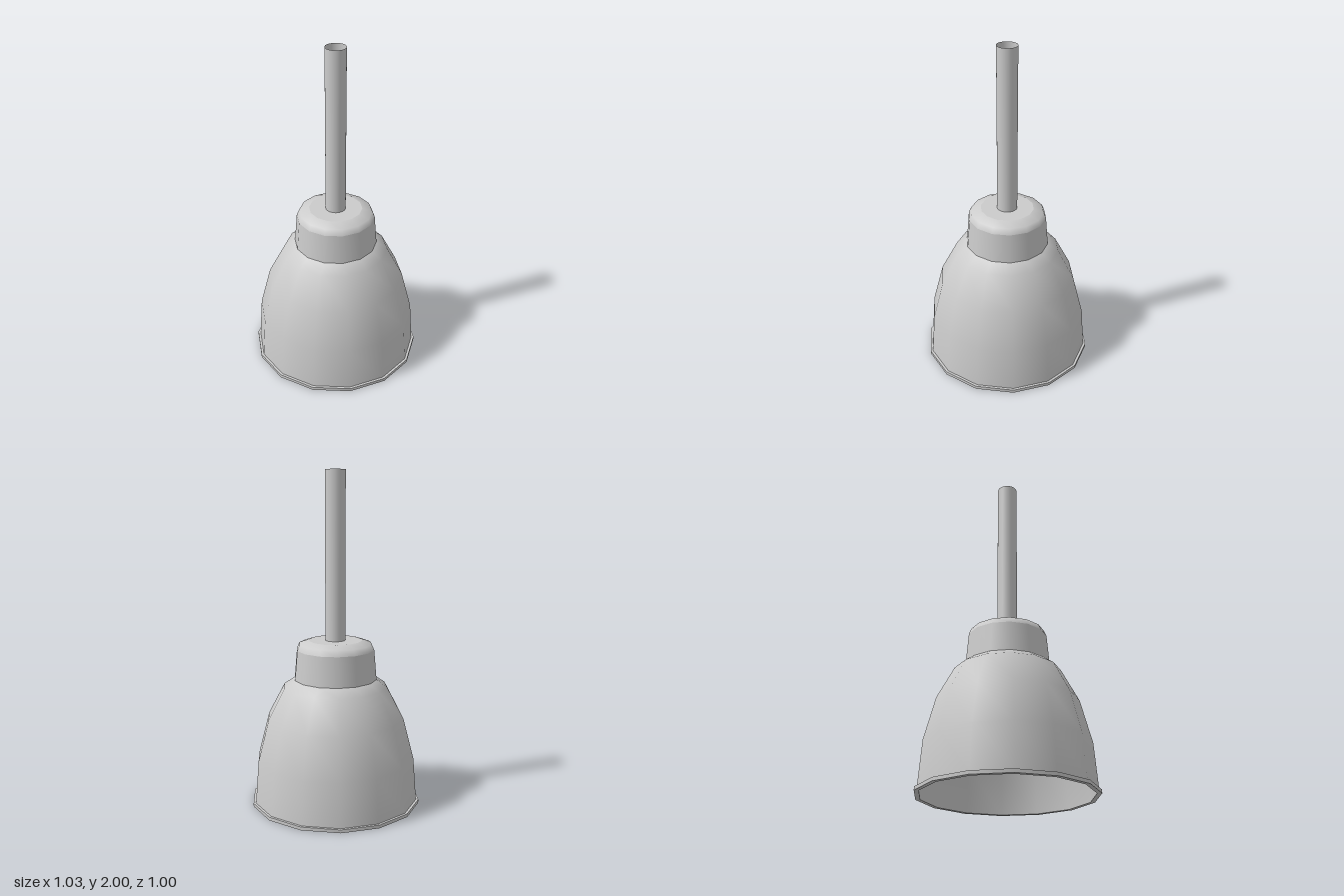
import * as THREE from 'three';

const SIDES = 14;

export function createModel() {
  const lamp = new THREE.Group();
  lamp.name = 'pendantLamp';
  const grey = new THREE.MeshStandardMaterial({ color: 0xcccccc });
  const greyThin = new THREE.MeshStandardMaterial({ color: 0xcccccc, side: THREE.DoubleSide });

  // Turned part with a corner on the x axis; profile is [radius, height] pairs
  // running upward for outward faces, downward for inward faces.
  function turn(name, profile, sides = SIDES, material = grey) {
    const points = profile.map(([r, y]) => new THREE.Vector2(r, y));
    const geometry = new THREE.LatheGeometry(points, sides, Math.PI / 2);
    const mesh = new THREE.Mesh(geometry, material);
    mesh.name = name;
    lamp.add(mesh);
    return mesh;
  }

  // Bell-shaped shade, outside and inside
  turn('shadeOuter', [[0.5, 0.02], [0.48, 0.28], [0.415, 0.53], [0.315, 0.72], [0.25, 0.765]]);
  turn('shadeInner', [[0, 0.745], [0.24, 0.745], [0.305, 0.705], [0.4, 0.52], [0.465, 0.275], [0.488, 0]]);

  // Lip around the open end, one flat band per face
  turn('lipUnderside', [[0.488, 0], [0.515, 0]]);
  turn('lipEdge', [[0.515, 0], [0.515, 0.02]]);
  turn('lipTop', [[0.515, 0.02], [0.5, 0.02]]);

  // Cap over the shade, with a rounded shoulder
  turn('capWall', [[0.25, 0.765], [0.235, 0.945]]);
  turn('capShoulder', [[0.235, 0.945], [0.22, 0.98], [0.16, 1]]);
  turn('capTop', [[0.16, 1], [0, 1]]);

  // Hollow hanging rod
  turn('rod', [[0.06, 1], [0.06, 2]], 32, greyThin);

  // Bulb: round end drawn up into a neck
  const bulb = [];
  for (let i = 0; i <= 9; i++) {
    const a = (i / 9) * Math.PI * 0.8;
    bulb.push([0.13 * Math.sin(a), 0.34 - 0.13 * Math.cos(a)]);
  }
  bulb.push([0.065, 0.5], [0.065, 0.745]);
  turn('bulb', bulb, 24);

  return lamp;
}
